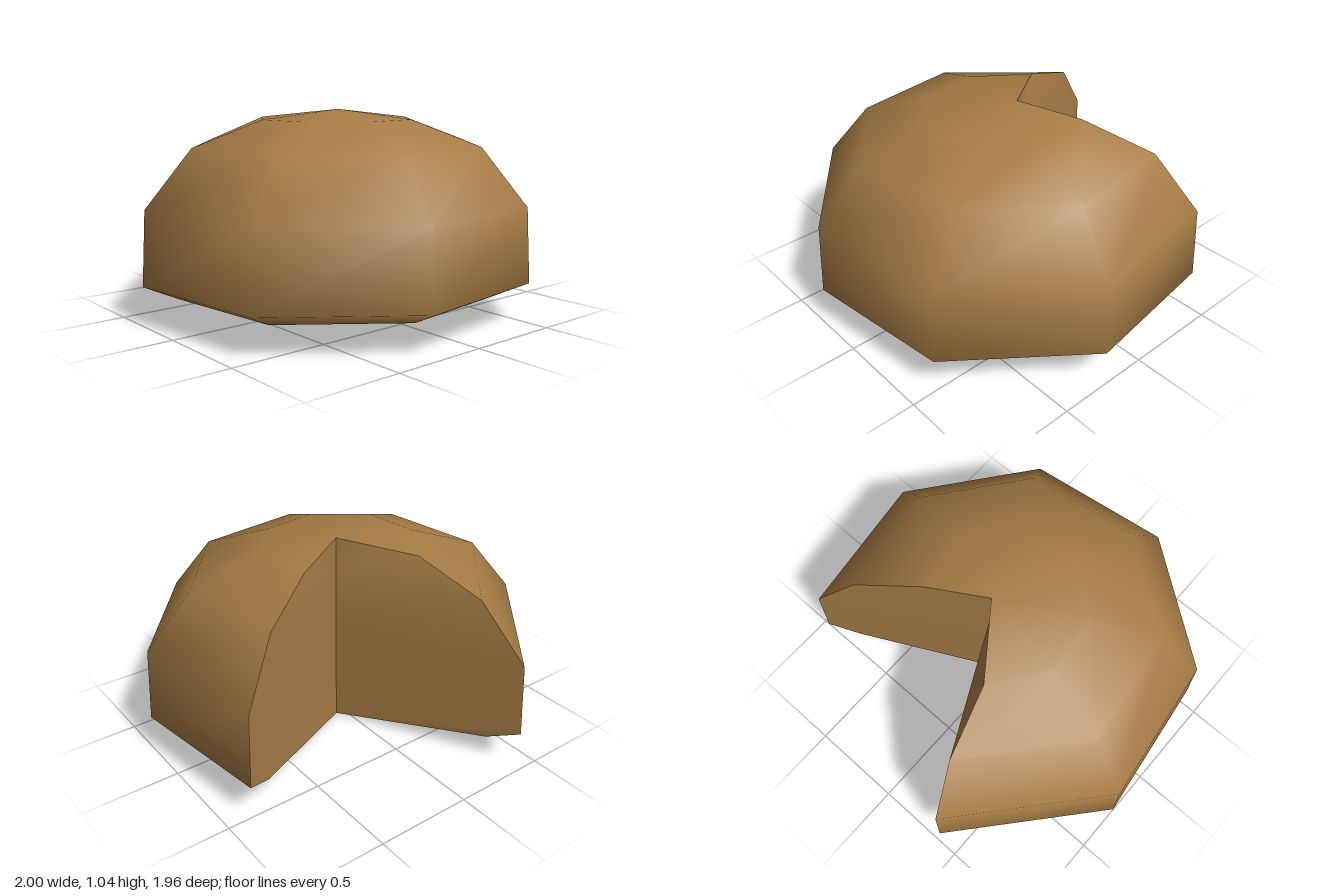
import * as THREE from 'three';

// Outline corners [x, z] at the widest level, running from one side of the notch to the other
const CORNERS = [[-0.39, -0.98], [-1, -0.28], [-0.9, 0.5], [-0.27, 0.98], [0.51, 0.88], [1, 0.25], [0.89, -0.53]];
// Levels [height, scale of the outline, height of the matching point on the notch axis]
const LEVELS = [[0.12, 0.83, 0], [0.2, 1, 0.2], [0.58, 0.98, 0.58], [0.87, 0.75, 0.87], [1, 0.395, 1.045]];
const AXIS = [0.05, -0.05];

function ringPoint(corner, level) {
  const [x, z] = CORNERS[corner];
  const [y, s] = LEVELS[level];
  // the first side of the notch bows slightly near the top
  const bow = corner === 0 && level === 4 ? -0.045 : 0;
  return [x * s + bow, y, z * s];
}
const axisPoint = (level) => [AXIS[0], LEVELS[level][2], AXIS[1]];

function makeMesh(name, points, index, material) {
  const g = new THREE.BufferGeometry();
  g.setAttribute('position', new THREE.Float32BufferAttribute(points.flat(), 3));
  g.setIndex(index);
  g.computeVertexNormals();
  const mesh = new THREE.Mesh(g, material);
  mesh.name = name;
  return mesh;
}

export function createModel() {
  const group = new THREE.Group();
  group.name = 'notchedDome';
  const brown = new THREE.MeshStandardMaterial({ color: 0xa67c45 });
  brown.name = 'warmBrown';
  const top = LEVELS.length - 1;
  const n = CORNERS.length;

  // Rounded outer shell with its shallow conical underside
  const points = [];
  const index = [];
  for (let k = 0; k <= top; k++) for (let i = 0; i < n; i++) points.push(ringPoint(i, k));
  const low = points.push(axisPoint(0)) - 1;
  const high = points.push(axisPoint(top)) - 1;
  for (let i = 0; i < n - 1; i++) {
    index.push(low, i + 1, i);
    for (let k = 0; k < top; k++) {
      const a = k * n + i, d = a + n;
      index.push(a, a + 1, d + 1, a, d + 1, d);
    }
    index.push(high, top * n + i, top * n + i + 1);
  }
  group.add(makeMesh('outerShell', points, index, brown));

  // Two walls of the notch, from the outer edge in to the axis
  [[0, 'notchWallRight'], [n - 1, 'notchWallLeft']].forEach(([corner, name]) => {
    const wall = [];
    const faces = [];
    for (let k = 0; k <= top; k++) wall.push(axisPoint(k), ringPoint(corner, k));
    for (let k = 0; k < top; k++) {
      const a = 2 * k;
      faces.push(a, a + 1, a + 3, a, a + 3, a + 2);
    }
    if (corner) faces.reverse();
    group.add(makeMesh(name, wall, faces, brown));
  });
  return group;
}
